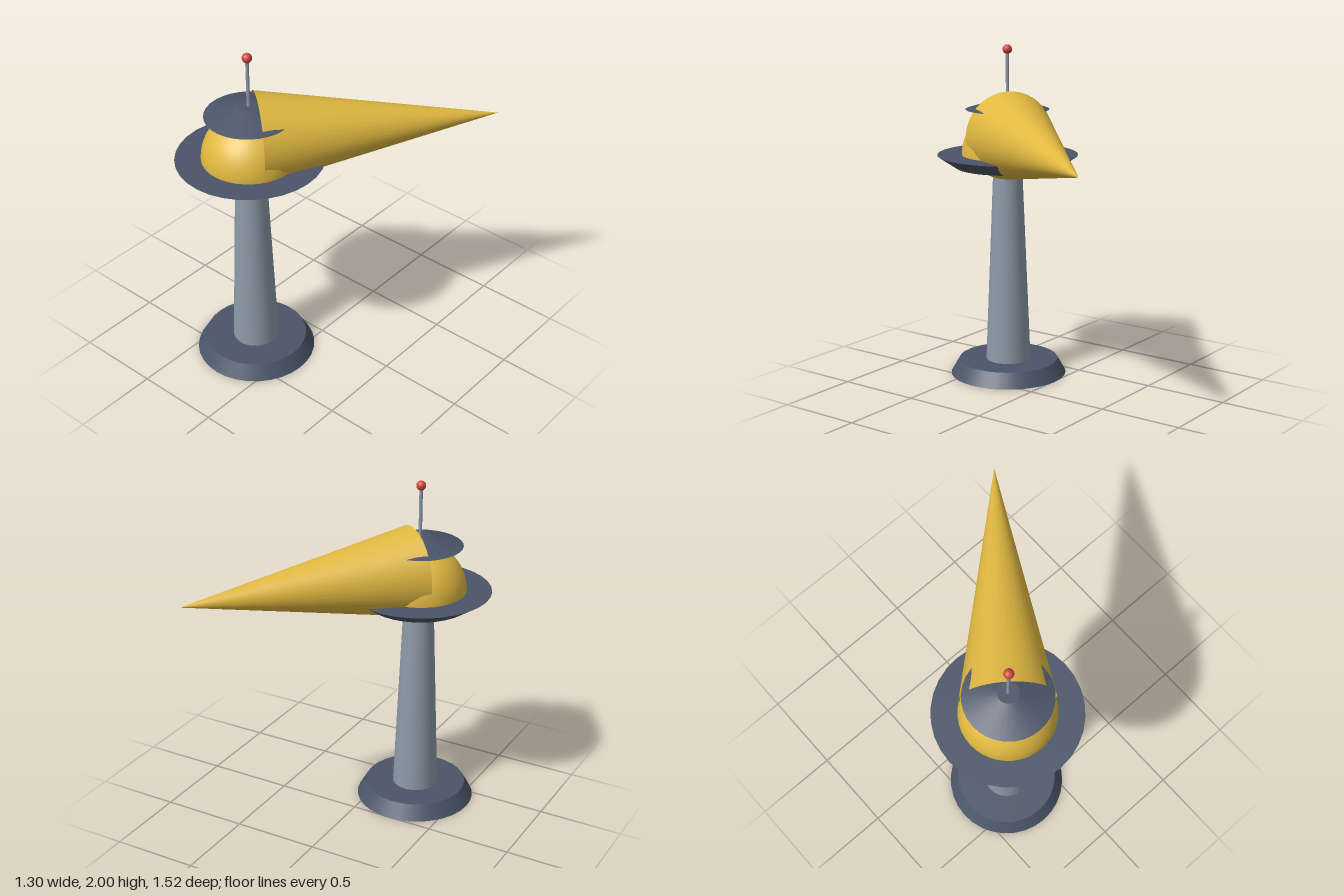
import * as THREE from 'three';

export function createModel() {
  const model = new THREE.Group();
  model.name = 'lighthouse';

  const mat = (name, color, side = THREE.FrontSide) => {
    const m = new THREE.MeshStandardMaterial({ color, side });
    m.name = name;
    return m;
  };
  const slate = mat('slate', 0x4a5568);
  const stone = mat('stone grey', 0x8d9aa8);
  const gold = mat('gold', 0xe0b840, THREE.DoubleSide);
  const red = mat('red', 0xd0483e);

  const add = (parent, name, geometry, material, y = 0) => {
    const mesh = new THREE.Mesh(geometry, material);
    mesh.name = name;
    mesh.position.y = y;
    parent.add(mesh);
    return mesh;
  };
  // Round section between two heights
  const section = (name, rBottom, rTop, y0, y1, material, sides = 32) =>
    add(tower, name, new THREE.CylinderGeometry(rTop, rBottom, y1 - y0, sides), material, (y0 + y1) / 2);

  // Everything but the beam shares the tower's axis
  const tower = new THREE.Group();
  tower.name = 'tower';
  tower.position.set(-0.232, 0, 0.341);
  model.add(tower);

  section('base', 0.35, 0.3, 0, 0.088, slate);
  section('shaft', 0.135, 0.086, 0.088, 1.28, stone);
  section('gallery', 0.31, 0.419, 1.277, 1.35, slate);

  // Lantern dome under a shallow roof
  add(tower, 'lantern', new THREE.SphereGeometry(0.273, 40, 16, 0, Math.PI * 2, 0, Math.PI / 2), gold, 1.35);
  section('roof', 0.248, 0.06, 1.62, 1.677, slate);

  // Mast and beacon
  section('mast', 0.01, 0.01, 1.67, 1.96, stone, 12);
  add(tower, 'beacon', new THREE.SphereGeometry(0.028, 20, 14), red, 1.972);

  // Light beam: open cone from the lantern to its tip
  const start = new THREE.Vector3(-0.205, 1.467, 0.308);
  const tip = new THREE.Vector3(0.647, 1.467, -0.765);
  const axis = tip.clone().sub(start);
  const beam = add(model, 'lightBeam',
    new THREE.ConeGeometry(0.263, axis.length(), 40, 1, true), gold);
  beam.position.copy(start).add(tip).multiplyScalar(0.5);
  beam.quaternion.setFromUnitVectors(new THREE.Vector3(0, 1, 0), axis.normalize());

  return model;
}
